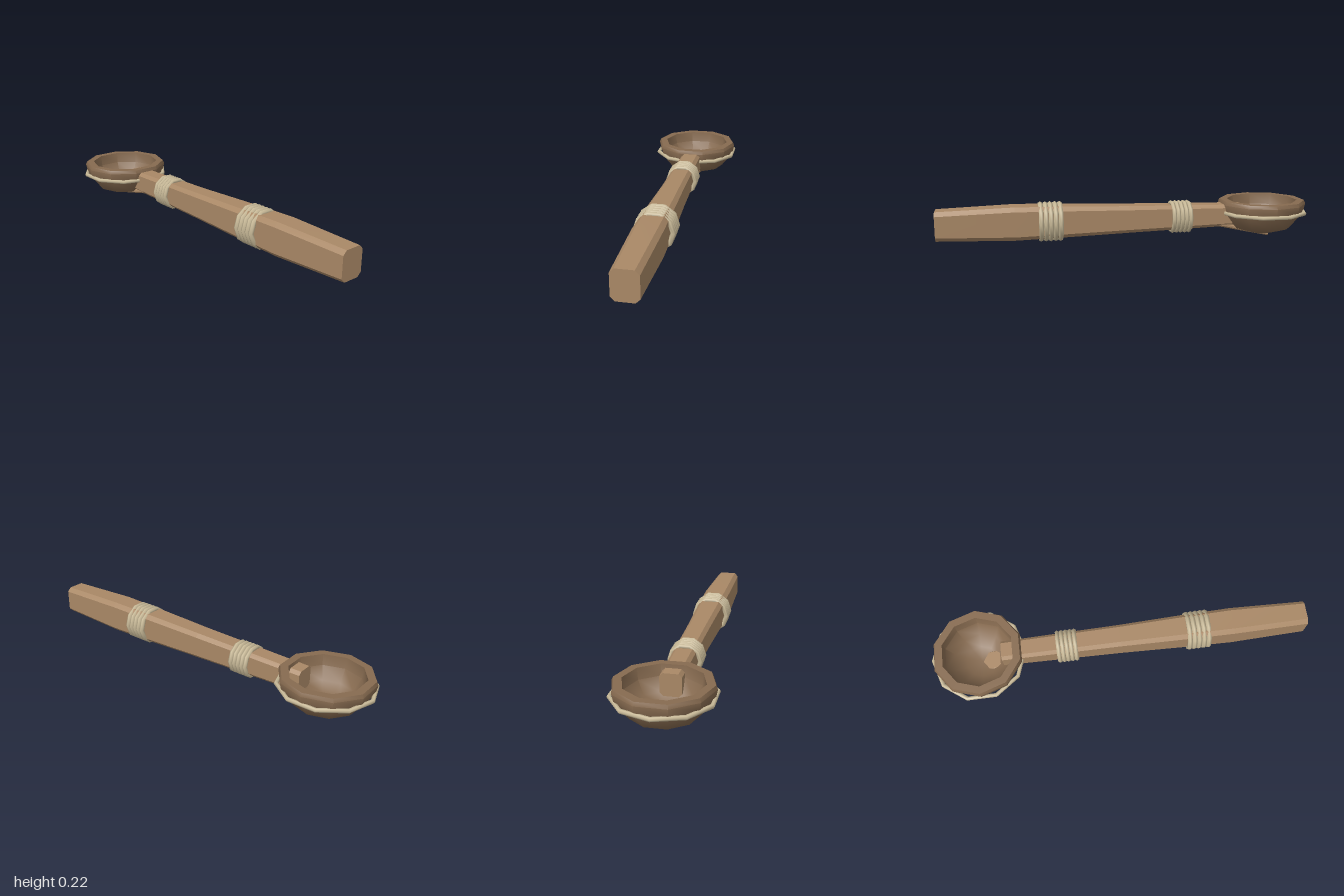
import * as THREE from 'three';
import { toCreasedNormals } from 'three/addons/utils/BufferGeometryUtils.js';

const mat = (name, color) => {
  const m = new THREE.MeshStandardMaterial({ color });
  m.name = name;
  return m;
};

// Solid through chamfered rectangles, listed from front to back as
// [z, halfWidth, bottom, top, chamfer]
function loft(sections) {
  const rings = sections.map(([z, w, y0, y1, c]) => [
    [w, y0 + c], [w, y1 - c], [w - c, y1], [c - w, y1],
    [-w, y1 - c], [-w, y0 + c], [c - w, y0], [w - c, y0],
  ].map(([x, y]) => [x, y, z]));
  const pos = [];
  const tri = (...points) => points.forEach((p) => pos.push(...p));
  for (let s = 0; s < rings.length - 1; s++) {
    const a = rings[s], b = rings[s + 1];
    for (let i = 0; i < 8; i++) {
      const j = (i + 1) % 8;
      tri(a[i], b[i], b[j]);
      tri(a[i], b[j], a[j]);
    }
  }
  const first = rings[0], last = rings[rings.length - 1];
  for (let i = 1; i < 7; i++) {
    tri(first[0], first[i], first[i + 1]);
    tri(last[0], last[i + 1], last[i]);
  }
  const geo = new THREE.BufferGeometry();
  geo.setAttribute('position', new THREE.Float32BufferAttribute(pos, 3));
  return toCreasedNormals(geo, 0.5);
}

export function createModel() {
  const group = new THREE.Group();
  const handleWood = mat('handleWood', 0xa98866);
  const bowlWood = mat('bowlWood', 0x876b50);
  const cord = mat('cord', 0xcabb99);

  const add = (parent, name, geo, material) => {
    const mesh = new THREE.Mesh(geo, material);
    mesh.name = name;
    parent.add(mesh);
    return mesh;
  };

  // Handle, ending in a peg inside the bowl
  add(group, 'handle', loft([
    [1.0, 0.065, 0.04, 0.192, 0.021],
    [0.6, 0.074, 0.03, 0.205, 0.022],
    [0.35, 0.07, 0.036, 0.2, 0.021],
    [0, 0.061, 0.046, 0.19, 0.019],
    [-0.63, 0.053, 0.064, 0.178, 0.016],
  ]), handleWood);

  // Sloping support under the bowl
  add(group, 'support', loft([
    [-0.46, 0.048, 0.069, 0.1, 0.008],
    [-0.62, 0.052, 0.035, 0.056, 0.007],
    [-0.775, 0.054, 0.002, 0.021, 0.007],
  ]), handleWood);

  // Ten-sided bowl with a thick rim: outside going up, inside going down
  const profile = [
    [0, 0.02], [0.075, 0.02], [0.165, 0.05], [0.225, 0.125], [0.231, 0.145],
    [0.238, 0.18], [0.23, 0.198], [0.19, 0.198], [0.184, 0.14],
    [0.145, 0.075], [0.085, 0.038], [0, 0.027],
  ].map(([r, y]) => new THREE.Vector2(r, y));
  const bowl = add(group, 'bowl', toCreasedNormals(
    new THREE.LatheGeometry(profile, 10, Math.PI / 10), 0.68), bowlWood);
  bowl.position.z = -0.75;

  // Cord around the bowl, its corners offset from the bowl's corners
  const bowlCord = add(group, 'bowlCord', new THREE.TorusGeometry(0.239, 0.011, 6, 10)
    .rotateZ(Math.PI / 10).rotateX(Math.PI / 2), cord);
  bowlCord.position.set(0, 0.135, -0.75);

  // Two cord wraps of five turns around the handle
  const wrap = (name, zMid, pitch, radius, tube, y) => {
    const turns = new THREE.Group();
    turns.name = name;
    for (let i = -2; i <= 2; i++) {
      const turn = add(turns, 'cordTurn', new THREE.TorusGeometry(radius, tube, 6, 10), cord);
      turn.position.set(0, y, zMid + i * pitch);
    }
    group.add(turns);
  };
  wrap('frontWrap', 0.415, 0.0255, 0.093, 0.0135, 0.116);
  wrap('rearWrap', -0.285, 0.0225, 0.078, 0.012, 0.117);

  return group;
}
